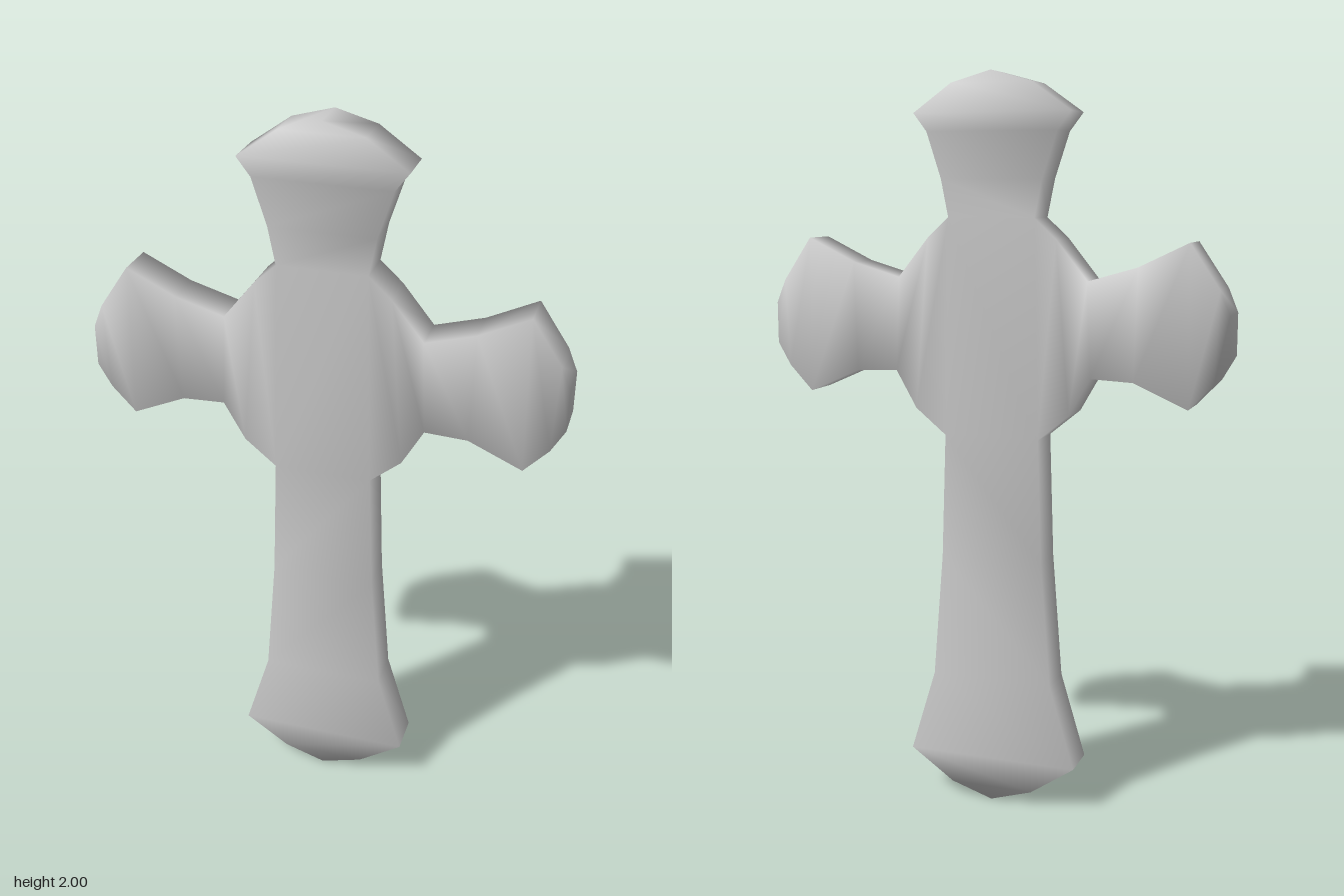
import * as THREE from 'three';

// Right half of the outline, clockwise from the top point to the bottom point
const HALF = [
  [0, 2], [0.11, 1.97], [0.217, 1.895], [0.18, 1.847], [0.14, 1.725], [0.12, 1.625], // head
  [0.18, 1.57], [0.265, 1.465],                                                      // upper hub
  [0.397, 1.503], [0.53, 1.567], [0.61, 1.45], [0.636, 1.387],                       // arm, top
  [0.636, 1.275], [0.6, 1.212], [0.535, 1.143], [0.39, 1.207],                       // arm, underside
  [0.275, 1.212], [0.217, 1.11], [0.132, 1.04],                                      // lower hub
  [0.143, 0.7], [0.17, 0.355], [0.24, 0.122], [0.117, 0.037], [0, 0],                // shaft and foot
];
const DEPTH = 0.056;

function crossGeometry() {
  const mirrored = HALF.slice(1, -1).reverse().map(([x, y]) => [-x, y]);
  const outline = [...HALF, ...mirrored];
  const n = outline.length;
  const mirror = (i) => (n - i) % n;
  const positions = [];
  for (const z of [DEPTH, -DEPTH]) for (const [x, y] of outline) positions.push(x, y, z);

  const index = [];
  // A clockwise polygon becomes a front face and its matching back face
  const face = (...p) => {
    for (let k = 1; k < p.length - 1; k++) {
      index.push(p[0], p[k + 1], p[k]);
      index.push(p[0] + n, p[k] + n, p[k + 1] + n);
    }
  };

  // Central column: rows joining each point to its mirror image
  const rows = [1, 2, 3, 4, 5, 18, 19, 20, 21, 22];
  face(0, 1, mirror(1));
  for (let k = 0; k < rows.length - 1; k++) {
    const a = rows[k], b = rows[k + 1];
    face(a, b, mirror(b), mirror(a));
  }
  face(22, 23, mirror(22));

  // Hub sides and arms: strips between upper and lower edges
  for (let i = 5; i < 11; i++) {
    const strip = [i, i + 1, 22 - i, 23 - i];
    face(...strip);
    face(...strip.map(mirror).reverse());
  }

  // Side wall around the outline
  for (let p = 0; p < n; p++) {
    const q = (p + 1) % n;
    index.push(p, q, q + n, p, q + n, p + n);
  }

  const geometry = new THREE.BufferGeometry();
  geometry.setAttribute('position', new THREE.Float32BufferAttribute(positions, 3));
  geometry.setIndex(index);
  geometry.computeVertexNormals(); // shared corners give the soft shading
  return geometry;
}

export function createModel() {
  const group = new THREE.Group();
  group.name = 'flaredCross';
  const cross = new THREE.Mesh(crossGeometry(), new THREE.MeshStandardMaterial({ color: 0xcccccc }));
  cross.name = 'crossBody';
  group.add(cross);
  return group;
}
